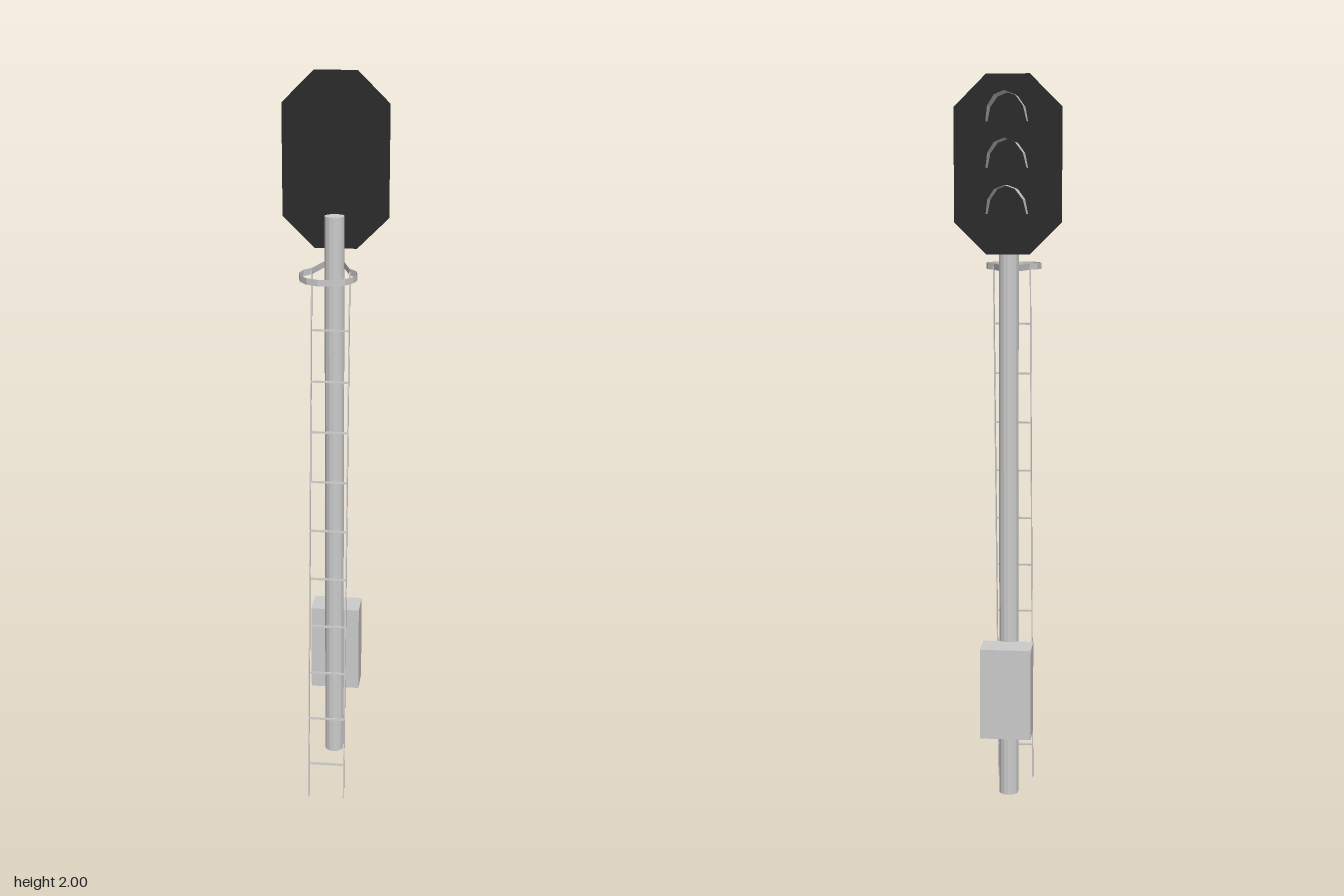
import * as THREE from 'three';

const grey = new THREE.MeshStandardMaterial({ color: 0xcccccc, flatShading: true });
const greyThin = new THREE.MeshStandardMaterial({ color: 0xcccccc, flatShading: true, side: THREE.DoubleSide });
const black = new THREE.MeshStandardMaterial({ color: 0x2b2b2b, side: THREE.DoubleSide });

function add(parent, name, geometry, material, x = 0, y = 0, z = 0) {
  const mesh = new THREE.Mesh(geometry, material);
  mesh.name = name;
  mesh.position.set(x, y, z);
  parent.add(mesh);
  return mesh;
}

// Open strip joining two matching rows of points
function strip(rowA, rowB) {
  const index = [];
  const n = rowA.length;
  for (let i = 0; i < n - 1; i++) index.push(i, i + 1, n + i, i + 1, n + i + 1, n + i);
  const geometry = new THREE.BufferGeometry().setFromPoints([...rowA, ...rowB]);
  geometry.setIndex(index);
  geometry.computeVertexNormals();
  return geometry;
}

// Half-elliptical hood, cut back at a slant towards its lower edge
function visorGeometry() {
  const back = [], lip = [];
  for (let i = 0; i <= 6; i++) {
    const a = (i / 6) * Math.PI;
    const x = 0.053 * Math.cos(a), y = 0.074 * Math.sin(a);
    back.push(new THREE.Vector3(x, y, 0));
    lip.push(new THREE.Vector3(x, y, -0.052 - 0.648 * y));
  }
  return strip(back, lip);
}

export function createModel() {
  const model = new THREE.Group();
  model.name = 'railwaySignal';

  // Post and equipment cabinet
  add(model, 'post', new THREE.CylinderGeometry(0.0267, 0.0267, 1.59, 14), grey, 0, 0.833, -0.048);
  add(model, 'cabinet', new THREE.BoxGeometry(0.138, 0.251, 0.086), grey, 0, 0.354, -0.108);

  // Signal head: flat octagonal plate with three hoods
  const head = new THREE.Group();
  head.name = 'signalHead';
  model.add(head);
  const outline = [
    [-0.057, 1.536], [0.057, 1.536], [0.142, 1.62], [0.142, 1.916],
    [0.057, 2], [-0.057, 2], [-0.142, 1.916], [-0.142, 1.62],
  ].map(([x, y]) => new THREE.Vector2(x, y));
  add(head, 'backPlate', new THREE.ShapeGeometry(new THREE.Shape(outline)), black, 0, 0, -0.075);
  const visor = visorGeometry();
  for (let i = 0; i < 3; i++) add(head, 'visor', visor, greyThin, 0, 1.642 + i * 0.118, -0.0755);

  // Leaning ladder
  const ladder = new THREE.Group();
  ladder.name = 'ladder';
  model.add(ladder);
  const height = 1.5, footZ = 0.165, topZ = 0.04;
  const lean = Math.atan2(topZ - footZ, height);
  const rail = new THREE.BoxGeometry(0.003, Math.hypot(height, footZ - topZ), 0.01);
  for (const side of [-1, 1]) {
    add(ladder, 'ladderRail', rail, grey, side * 0.05, height / 2, (footZ + topZ) / 2).rotation.x = lean;
  }
  const rung = new THREE.BoxGeometry(0.1, 0.005, 0.005);
  for (let i = 0; i < 10; i++) {
    const y = 0.102 + i * 0.138;
    add(ladder, 'ladderRung', rung, grey, 0, y, footZ + (topZ - footZ) * y / height).rotation.x = lean;
  }

  // Safety hoop: a thin upright band running from the post around the ladder top
  const half = [[0.025, -0.045], [0.049, 0.04], [0.068, 0.065], [0.0755, 0.098], [0.068, 0.131], [0.049, 0.158], [0.018, 0.173]];
  const path = [...half, ...half.slice().reverse().map(([x, z]) => [-x, z])];
  const band = (y) => path.map(([x, z]) => new THREE.Vector3(x, y, z));
  add(model, 'safetyHoop', strip(band(1.491), band(1.508)), greyThin);

  return model;
}
